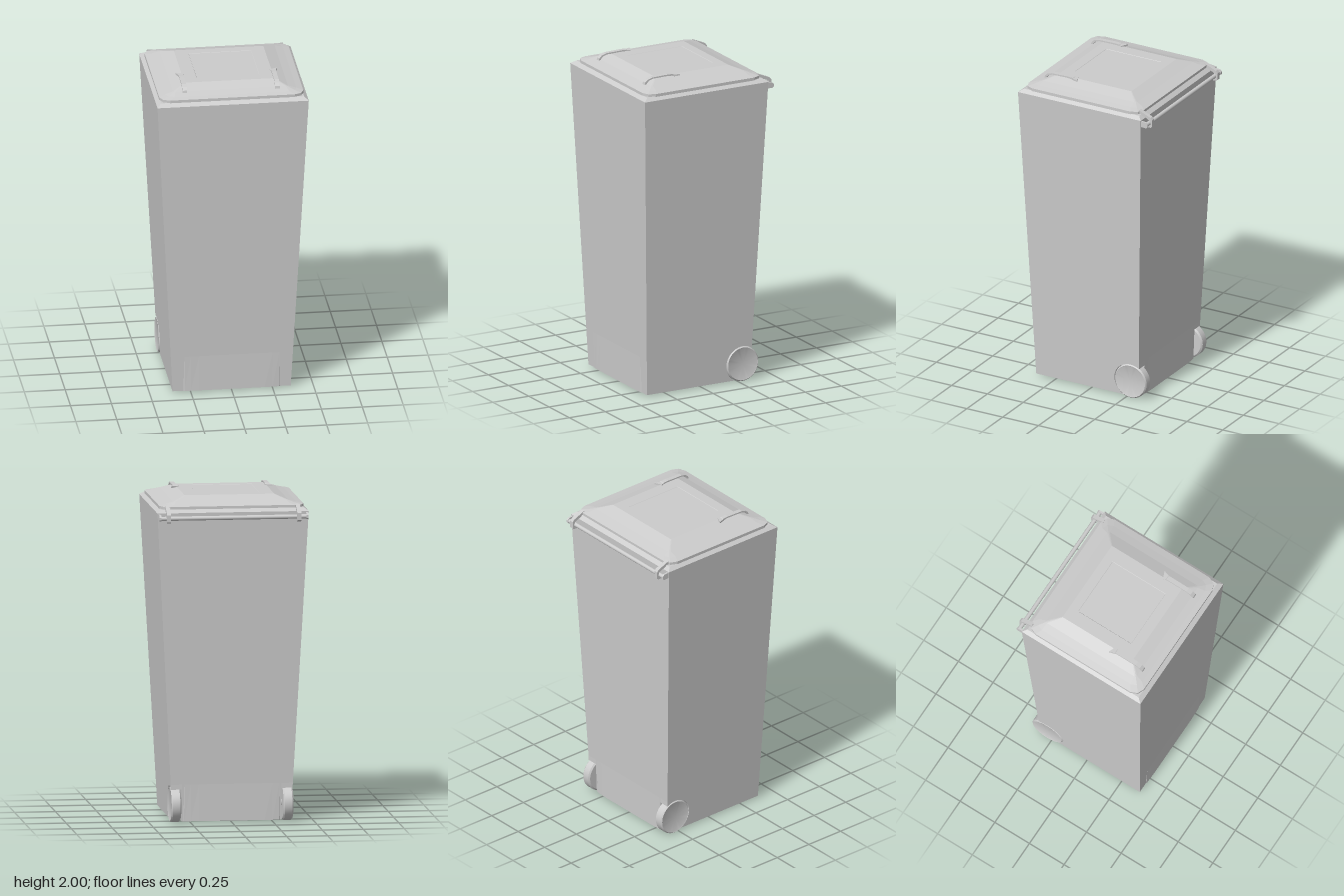
import * as THREE from 'three';
import { toCreasedNormals } from 'three/addons/utils/BufferGeometryUtils.js';

const flat = new THREE.MeshStandardMaterial({ color: 0xcccccc, flatShading: true });
const smooth = new THREE.MeshStandardMaterial({ color: 0xcccccc });
const lerp = THREE.MathUtils.lerp;

const Y0 = 0.01, Y1 = 1.905, SKIRT = 0.235;   // body floor, body top, top of wheel wells
const WELL_X = 0.305, WELL_Z = -0.15;         // inner corner of the wheel wells
const WHEEL = { y: 0.11, z: -0.28, r: 0.11 };
const wall = y => {
  const t = (y - Y0) / (Y1 - Y0);
  return { x: lerp(0.361, 0.462, t), front: lerp(0.382, 0.452, t), back: lerp(-0.333, -0.405, t) };
};

function add(group, name, geometry, material = flat, x = 0, y = 0, z = 0) {
  const mesh = new THREE.Mesh(geometry, material);
  mesh.name = name;
  mesh.position.set(x, y, z);
  group.add(mesh);
  return mesh;
}

// Skin over stacked rings of [x, z], each { y, pts }, running +x along the front; both ends are capped
function loft(rings) {
  const pos = [];
  const put = (ring, i) => pos.push(ring.pts[i][0], ring.y, ring.pts[i][1]);
  const n = rings[0].pts.length;
  for (let k = 0; k + 1 < rings.length; k++) {
    const a = rings[k], b = rings[k + 1];
    for (let i = 0; i < n; i++) {
      const j = (i + 1) % n;
      put(a, i); put(a, j); put(b, j);
      put(a, i); put(b, j); put(b, i);
    }
  }
  const cap = (ring, up) => {
    const outline = ring.pts.map(([x, z]) => new THREE.Vector2(x, -z));
    for (const [a, b, c] of THREE.ShapeUtils.triangulateShape(outline, [])) {
      put(ring, a); put(ring, up ? b : c); put(ring, up ? c : b);
    }
  };
  cap(rings[0], false);
  cap(rings[rings.length - 1], true);
  const g = new THREE.BufferGeometry();
  g.setAttribute('position', new THREE.Float32BufferAttribute(pos, 3));
  g.computeVertexNormals();
  return g;
}

const polygon = pts => new THREE.Shape(pts.map(p => new THREE.Vector2(...p)));

// Side profile of [z, y] points, extruded along x and centred
function extrudeX(shape, width) {
  return new THREE.ExtrudeGeometry(shape, { depth: width, bevelEnabled: false, curveSegments: 20 })
    .translate(0, 0, -width / 2).rotateY(-Math.PI / 2);
}

// Body outline: bulged panels front and back, optional wheel wells at the back corners
function bodyRing(y, bulge, wells) {
  const w = wall(y);
  const panel = [[-0.295, 0], [-0.29, 0.5], [-0.25, 0.8], [-0.2, 1], [0.2, 1], [0.25, 0.8], [0.29, 0.5], [0.295, 0]];
  const front = panel.map(([x, k]) => [x, w.front + k * bulge]);
  const back = panel.map(([x, k]) => [-x, w.back - k * bulge]);
  const corner = wells ? [WELL_X, WELL_Z] : [w.x, w.back];
  return {
    y,
    pts: [
      [-w.x, w.front], ...front, [w.x, w.front],
      [w.x, WELL_Z], corner, [WELL_X, w.back],
      ...back,
      [-WELL_X, w.back], [-corner[0], corner[1]], [-w.x, WELL_Z],
    ],
  };
}

// Rectangle with clipped corners
function clippedRing(y, x, front, back, c) {
  const a = 0.3 * c;
  return {
    y,
    pts: [
      [-x + c, front], [x - c, front], [x - a, front - a], [x, front - c],
      [x, back + c], [x - a, back + a], [x - c, back],
      [-x + c, back], [-x + a, back + a], [-x, back + c],
      [-x, front - c], [-x + a, front - a],
    ],
  };
}

const rectRing = (y, x, front, back) => ({ y, pts: [[-x, front], [x, front], [x, back], [-x, back]] });

// Side wall around the wheel, fitted between the well and the sloping wall
function archGeometry(side) {
  const s = new THREE.Shape();
  const { y, z, r } = WHEEL, R = r + 0.003, back = wall(SKIRT).back;
  const a0 = Math.asin((Y0 - y) / R);
  const a1 = Math.acos((back - z) / R);
  s.moveTo(WELL_Z, Y0);
  s.lineTo(WELL_Z, SKIRT);
  s.lineTo(back, SKIRT);
  s.lineTo(back, y + R * Math.sin(a1));
  s.absarc(z, y, R, a1, a0, true);
  const g = extrudeX(s, 1), p = g.attributes.position;
  for (let i = 0; i < p.count; i++) {
    const t = 0.5 + side * p.getX(i);
    p.setX(i, side * lerp(WELL_X, wall(p.getY(i)).x, t));
  }
  g.computeVertexNormals();
  return g;
}

export function createModel() {
  const bin = new THREE.Group();
  bin.name = 'wheeledBin';

  // Tapered body and its sloping rim
  add(bin, 'body', loft([
    bodyRing(Y0, 0.007, true), bodyRing(SKIRT, 0, true),
    bodyRing(SKIRT, 0, false), bodyRing(Y1, 0, false),
  ]));
  add(bin, 'rim', loft([rectRing(Y1, 0.462, 0.452, -0.405), rectRing(1.924, 0.437, 0.423, -0.38)]));

  // Lid with raised centre and a faint sunken rectangle
  add(bin, 'lid', loft([
    clippedRing(1.92, 0.44, 0.425, -0.38, 0.06),
    clippedRing(1.94, 0.44, 0.425, -0.38, 0.06),
    clippedRing(1.949, 0.4, 0.392, -0.35, 0.05),
    clippedRing(1.962, 0.35, 0.347, -0.308, 0.012),
    clippedRing(1.99, 0.274, 0.275, -0.232, 0.004),
    clippedRing(1.99, 0.192, 0.211, -0.173, 0.002),
    clippedRing(1.988, 0.19, 0.209, -0.171, 0.002),
  ]));

  // Rear bar
  add(bin, 'rearBar', new THREE.CylinderGeometry(0.013, 0.013, 0.91, 20).rotateZ(Math.PI / 2), smooth, 0, 1.876, -0.432);

  const strap = polygon([
    [0.362, 1.955], [0.358, 1.972], [0.34, 1.988], [0.31, 1.997], [0.2, 2], [0.165, 1.998], [0.148, 1.986],
    [0.148, 1.978], [0.17, 1.988], [0.2, 1.991], [0.305, 1.989], [0.332, 1.98], [0.346, 1.966], [0.348, 1.955],
  ]);
  const hook = polygon([
    [-0.365, 1.947], [-0.41, 1.928], [-0.444, 1.914], [-0.455, 1.9], [-0.455, 1.856], [-0.445, 1.848],
    [-0.42, 1.848], [-0.418, 1.86], [-0.44, 1.868], [-0.44, 1.892], [-0.41, 1.908], [-0.365, 1.92],
  ]);
  const bracket = polygon([[-0.395, 1.9], [-0.435, 1.896], [-0.447, 1.885], [-0.447, 1.868], [-0.438, 1.86], [-0.395, 1.862]]);
  const wheelProfile = [[0, -0.03], [0.1, -0.03], [0.11, -0.022], [0.11, 0.022], [0.103, 0.03], [0.098, 0.028], [0, 0.03]]
    .map(p => new THREE.Vector2(...p));

  for (const side of [1, -1]) {
    const label = side > 0 ? 'left' : 'right';

    // Lid handle with a flared tail
    add(bin, label + 'Handle', extrudeX(strap, 0.028), flat, side * 0.283);
    const tail = polygon([[0.027, -0.125], [-0.021, -0.145], [-0.014, -0.17], [0.014, -0.17]].map(([x, y]) => [side * x, y]));
    add(bin, label + 'HandleTail',
      new THREE.ExtrudeGeometry(tail, { depth: 0.01, bevelEnabled: false }).rotateX(-Math.PI / 2), flat, side * 0.283, 1.985, 0);

    // Hinge hook and bar bracket
    add(bin, label + 'HingeHook', extrudeX(hook, 0.025), flat, side * 0.398);
    add(bin, label + 'BarBracket', extrudeX(bracket, 0.012), flat, side * 0.449);

    // Wheel, its arch and axle stub
    add(bin, label + 'WheelArch', archGeometry(side));
    const wheel = toCreasedNormals(new THREE.LatheGeometry(wheelProfile, 40), 0.5).rotateZ(-side * Math.PI / 2);
    add(bin, label + 'Wheel', wheel, smooth, side * 0.342, WHEEL.y, WHEEL.z);
    add(bin, label + 'AxleStub', new THREE.CylinderGeometry(0.02, 0.02, 0.04, 16).rotateZ(Math.PI / 2),
      smooth, side * 0.31, WHEEL.y, WHEEL.z);
  }
  return bin;
}
